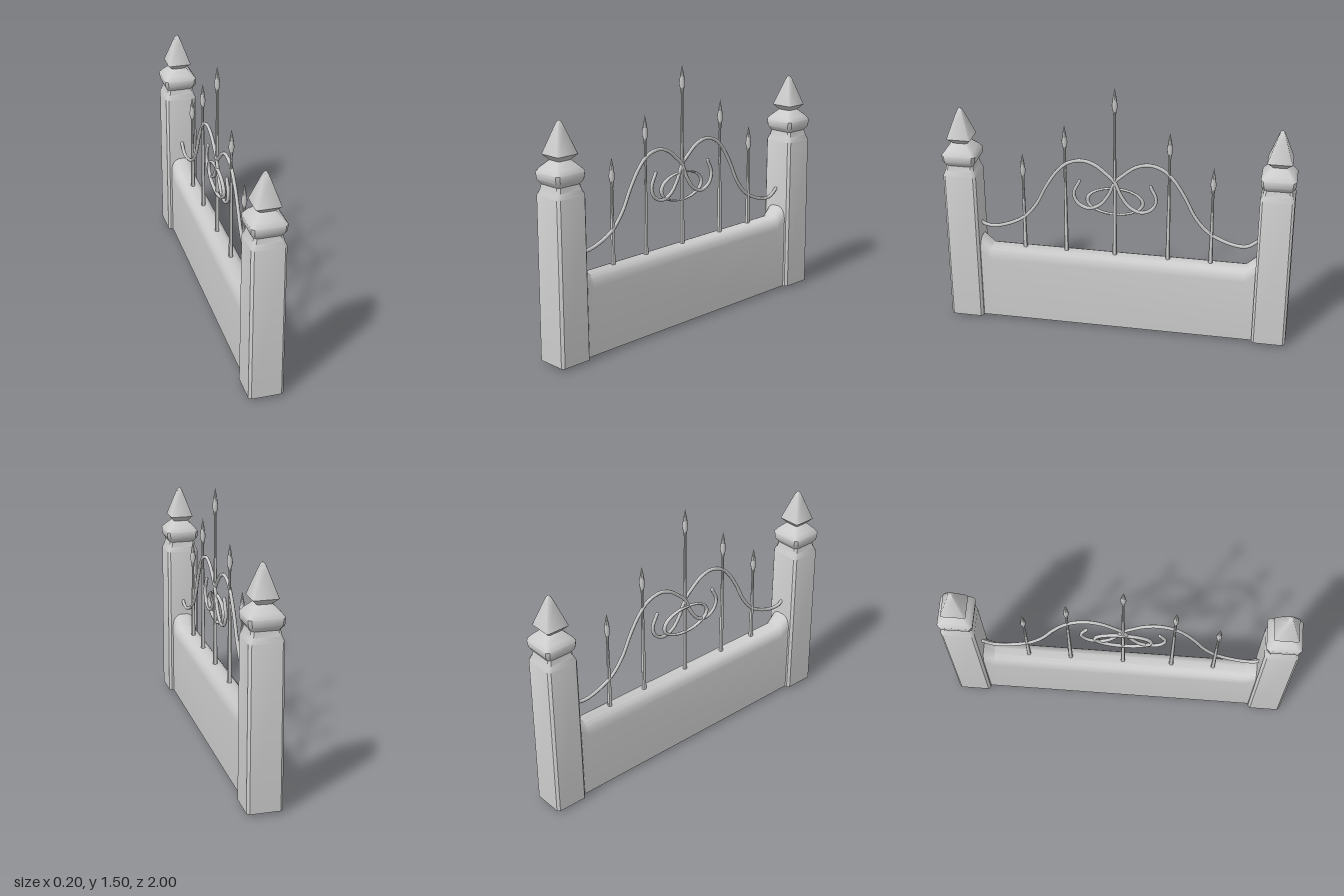
import * as THREE from 'three';
import { toCreasedNormals } from 'three/addons/utils/BufferGeometryUtils.js';

const stone = new THREE.MeshStandardMaterial({ color: 0xcccccc, side: THREE.DoubleSide });
const iron = new THREE.MeshStandardMaterial({ color: 0xcccccc });

function addMesh(parent, name, geometry, material) {
  const mesh = new THREE.Mesh(geometry, material);
  mesh.name = name;
  parent.add(mesh);
  return mesh;
}

// Skin a list of equally long rings of [x, y, z] points
function loft(rings, closed) {
  const n = rings[0].length, index = [];
  for (let i = 0; i < rings.length - 1; i++) {
    for (let j = 0; j < (closed ? n : n - 1); j++) {
      const k = (j + 1) % n;
      const a = i * n + j, b = i * n + k, c = b + n, d = a + n;
      index.push(a, b, c, a, c, d);
    }
  }
  const geometry = new THREE.BufferGeometry();
  geometry.setAttribute('position', new THREE.Float32BufferAttribute(rings.flat(2), 3));
  geometry.setIndex(index);
  return toCreasedNormals(geometry, 0.75);
}

// Square ring with chamfered corners, h = half width, c = chamfer
function squareRing(y, h, c) {
  const s = h - c;
  return [[-s, y, h], [s, y, h], [h, y, s], [h, y, -s], [s, y, -h], [-s, y, -h], [-h, y, -s], [-h, y, s]];
}

// Post: [height, half width, chamfer], open underneath
function postGeometry() {
  const profile = [
    [0.015, 0.098, 0.014], [0.935, 0.095, 0.014], [0.965, 0.083, 0.014], [0.995, 0.077, 0.014],
    [1.02, 0.094, 0.016], [1.06, 0.098, 0.016], [1.085, 0.08, 0.014], [1.122, 0.042, 0.008],
    [1.152, 0.069, 0.006], [1.29, 0.022, 0.004], [1.315, 0.013, 0.004], [1.327, 0.004, 0.001], [1.328, 0, 0],
  ];
  return loft(profile.map(p => squareRing(...p)), true);
}

// Wall with rounded coping that ramps up against the posts
function wallGeometry() {
  const half = [[0.071, 0.015], [0.071, 0.4], [0.067, 0.425], [0.057, 0.447], [0.042, 0.462], [0.022, 0.47]];
  const section = [...half, ...half.slice().reverse().map(([x, y]) => [-x, y])];
  const stations = [[-0.81, 0.06], [-0.745, 0], [0.745, 0], [0.81, 0.06]];
  return loft(stations.map(([z, rise]) =>
    section.map(([x, y]) => [x, y > 0.1 ? y + rise : y, z])), false);
}

// Tapered bar with a spear head
function spearGeometry(base, tip) {
  const points = [
    [0, base], [0.014, base], [0.0125, 0.5], [0.007, tip - 0.17],
    [0.009, tip - 0.145], [0.017, tip - 0.105], [0.01, tip - 0.05], [0, tip],
  ].map(([r, y]) => new THREE.Vector2(r, y));
  return toCreasedNormals(new THREE.LatheGeometry(points, 8), 0.85);
}

// Rod through [z, y] points, with closed ends
function addRod(parent, name, points, x, side) {
  const curve = new THREE.CatmullRomCurve3(points.map(([z, y]) => new THREE.Vector3(x, y, z * side)));
  const rod = new THREE.Group();
  rod.name = name;
  addMesh(rod, 'rod', new THREE.TubeGeometry(curve, 72, 0.0105, 6), iron);
  for (const t of [0, 1]) {
    addMesh(rod, 'rodEnd', new THREE.SphereGeometry(0.0105, 6, 4), iron).position.copy(curve.getPoint(t));
  }
  parent.add(rod);
}

export function createModel() {
  const group = new THREE.Group();
  group.name = 'fenceSection';

  // Posts at both ends
  const post = postGeometry();
  for (const side of [1, -1]) {
    addMesh(group, side > 0 ? 'frontPost' : 'backPost', post, stone).position.z = 0.902 * side;
  }

  addMesh(group, 'wall', wallGeometry(), stone);

  // Upright spears: [z, base, tip]
  const spears = [[0.55, 0, 1.07], [0.303, 0.4, 1.265], [0.017, 0.4, 1.505], [-0.293, 0.4, 1.265], [-0.541, 0, 1.07]];
  for (const [z, base, tip] of spears) {
    addMesh(group, 'spear', spearGeometry(base, tip), iron).position.z = z;
  }

  // Scrollwork, mirrored about the middle spear
  const scroll = new THREE.Group();
  scroll.name = 'scrollwork';
  scroll.position.z = 0.017;
  group.add(scroll);
  const sweep = [
    [0.82, 0.635], [0.77, 0.598], [0.72, 0.592], [0.63, 0.615], [0.535, 0.667], [0.46, 0.757], [0.403, 0.87],
    [0.34, 0.97], [0.274, 1.033], [0.19, 1.056], [0.115, 1.035], [0.05, 0.985], [0, 0.935],
    [-0.038, 0.85], [-0.09, 0.782], [-0.155, 0.757], [-0.215, 0.785], [-0.238, 0.845], [-0.205, 0.925],
  ];
  for (const side of [1, -1]) addRod(scroll, 'sweep', sweep, 0.002 * side, side);

  // Oval ring at the centre
  const oval = addMesh(scroll, 'ovalRing', new THREE.TorusGeometry(0.16, 0.0115, 6, 40), iron);
  oval.rotation.y = Math.PI / 2;
  oval.scale.y = 0.51;
  oval.position.set(-0.006, 0.81, 0);

  return group;
}
